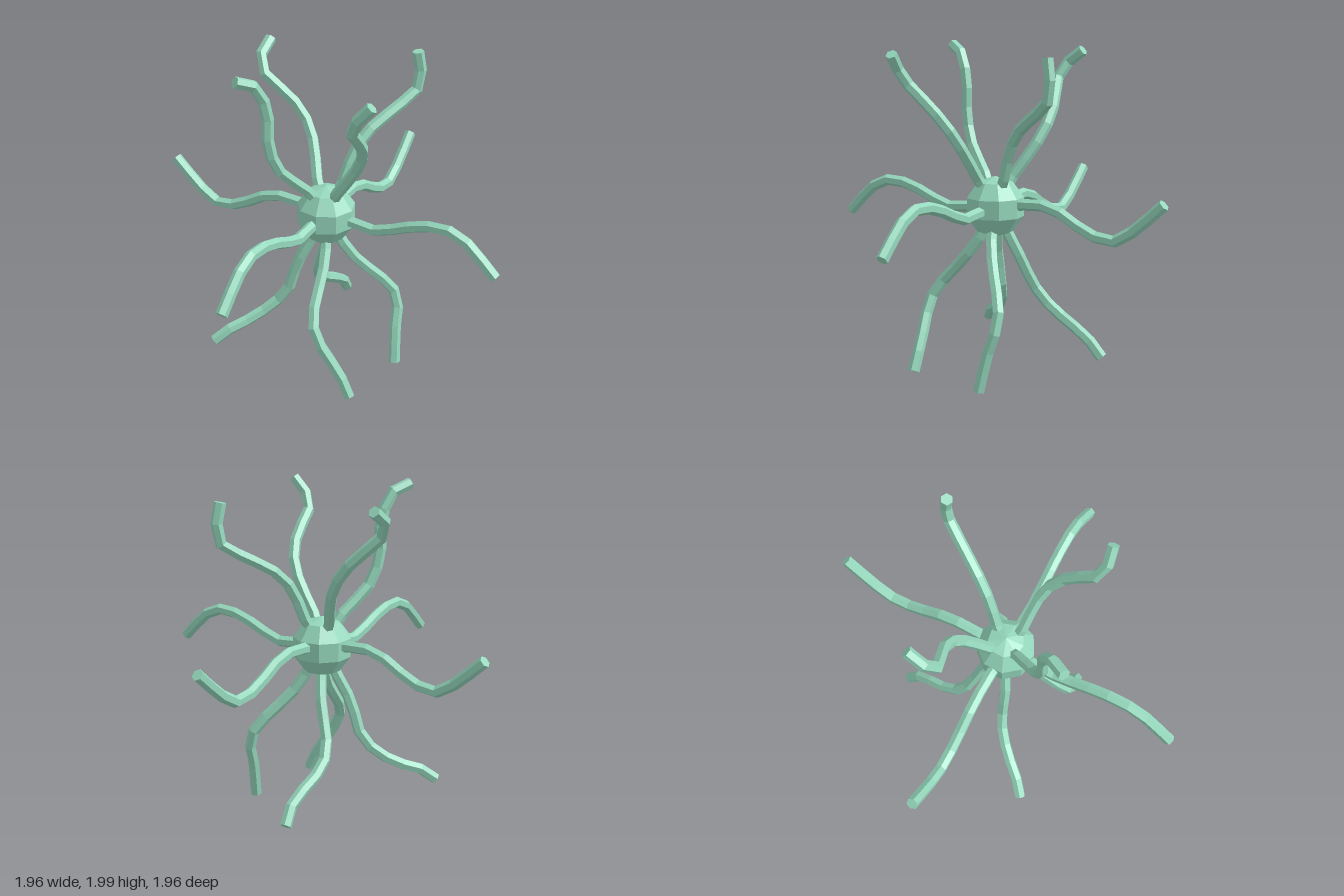
import * as THREE from 'three';

const CENTRE = new THREE.Vector3(0, 1.03, 0);
const RADIUS = 0.035, SIDES = 6, STEPS = 9;

// Six-sided tube through the points, rooted inside the core and closed at the tip
function tentacleGeometry(points) {
  const path = points.map(p => new THREE.Vector3(...p));
  path.unshift(path[0].clone().lerp(CENTRE, 0.5));
  const curve = new THREE.CatmullRomCurve3(path, false, 'centripetal');
  const geo = new THREE.TubeGeometry(curve, STEPS, RADIUS, SIDES, false);
  const index = Array.from(geo.index.array);
  const rim = STEPS * (SIDES + 1);
  for (let i = 1; i < SIDES - 1; i++) index.push(rim, rim + i + 1, rim + i);
  geo.setIndex(index);
  return geo;
}

export function createModel() {
  const group = new THREE.Group();
  const mint = new THREE.MeshStandardMaterial({ color: 0x96d9be, flatShading: true });
  mint.name = 'mint';

  const add = (name, geo) => {
    const mesh = new THREE.Mesh(geo, mint);
    mesh.name = name;
    group.add(mesh);
    return mesh;
  };

  // Faceted core
  add('core', new THREE.SphereGeometry(0.184, 9, 5)).position.copy(CENTRE);

  // Sideways tentacles: two wave profiles [reach, height], laid out in four directions
  const dip = [[0.12, 1.05], [0.27, 1.065], [0.36, 1.045], [0.48, 0.97], [0.58, 0.917], [0.685, 0.9], [0.78, 0.96], [0.955, 1.14]];
  const rise = [[0.13, 1.02], [0.28, 1.0], [0.39, 1.04], [0.52, 1.1], [0.67, 1.13], [0.78, 1.09], [0.955, 0.905]];
  const slope = Math.tan(Math.PI / 6);
  const sideways = [
    ['rightBackSide', rise, (r, y) => [-r, y, r * slope]],
    ['leftSide', dip, (r, y) => [r, y, -r * slope]],
    ['backSide', dip, (r, y) => [-r * slope, y, -r]],
    ['frontSide', rise, (r, y) => [r * slope, y, r]],
  ];
  sideways[0][0] = 'rightSide';
  for (const [name, wave, place] of sideways) {
    add(name + 'Tentacle', tentacleGeometry(wave.map(([r, y]) => place(r, y))));
  }

  // Upper tentacles lying in the x-y plane
  const upperLeft = [[0.1, 1.18], [0.17, 1.35], [0.22, 1.435], [0.31, 1.52], [0.49, 1.62], [0.62, 1.7], [0.645, 1.81], [0.62, 1.94]];
  const upperRight = [[-0.12, 1.2], [-0.31, 1.38], [-0.36, 1.49], [-0.38, 1.6], [-0.375, 1.72], [-0.4, 1.83], [-0.45, 1.92], [-0.57, 1.97]];
  add('upperLeftTentacle', tentacleGeometry(upperLeft.map(([x, y]) => [x, y, 0])));
  add('upperRightTentacle', tentacleGeometry(upperRight.map(([x, y]) => [x, y, 0])));

  // Upper tentacles leaning forwards and backwards, sharing one sway
  const sway = [[0, 1.18], [0.04, 1.34], [0.055, 1.47], [0.01, 1.6], [-0.07, 1.7], [-0.135, 1.78], [-0.13, 1.86]];
  for (const [name, dir, tipX] of [['upperFront', 1, -0.08], ['upperBack', -1, -0.03]]) {
    const pts = [...sway, [tipX, 1.945]].map(([x, y]) => [x, y, dir * (0.1 + (y - 1.18) * 0.684)]);
    add(name + 'Tentacle', tentacleGeometry(pts));
  }

  // Lower tentacles
  const lower = {
    lowerFrontRight: [[-0.04, 0.86, 0.07], [-0.1, 0.73, 0.14], [-0.19, 0.6, 0.215], [-0.25, 0.5, 0.28],
      [-0.25, 0.4, 0.33], [-0.2, 0.28, 0.385], [-0.14, 0.13, 0.455], [-0.12, 0.04, 0.49]],
    lowerFrontLeft: [[0.07, 0.86, 0.06], [0.16, 0.72, 0.1], [0.265, 0.615, 0.135], [0.37, 0.5, 0.17],
      [0.4, 0.41, 0.195], [0.365, 0.25, 0.235], [0.335, 0.015, 0.28]],
    lowerBackLeft: [[0.04, 0.86, -0.07], [0.07, 0.68, -0.155], [0.07, 0.55, -0.22], [0.12, 0.42, -0.305],
      [0.21, 0.345, -0.36], [0.37, 0.25, -0.43], [0.44, 0.14, -0.49]],
    lowerBackRight: [[-0.07, 0.86, -0.05], [-0.13, 0.73, -0.085], [-0.165, 0.6, -0.12], [-0.185, 0.5, -0.14],
      [-0.27, 0.38, -0.19], [-0.44, 0.28, -0.235], [-0.57, 0.23, -0.26], [-0.64, 0.17, -0.285]],
  };
  for (const [name, pts] of Object.entries(lower)) add(name + 'Tentacle', tentacleGeometry(pts));

  return group;
}
